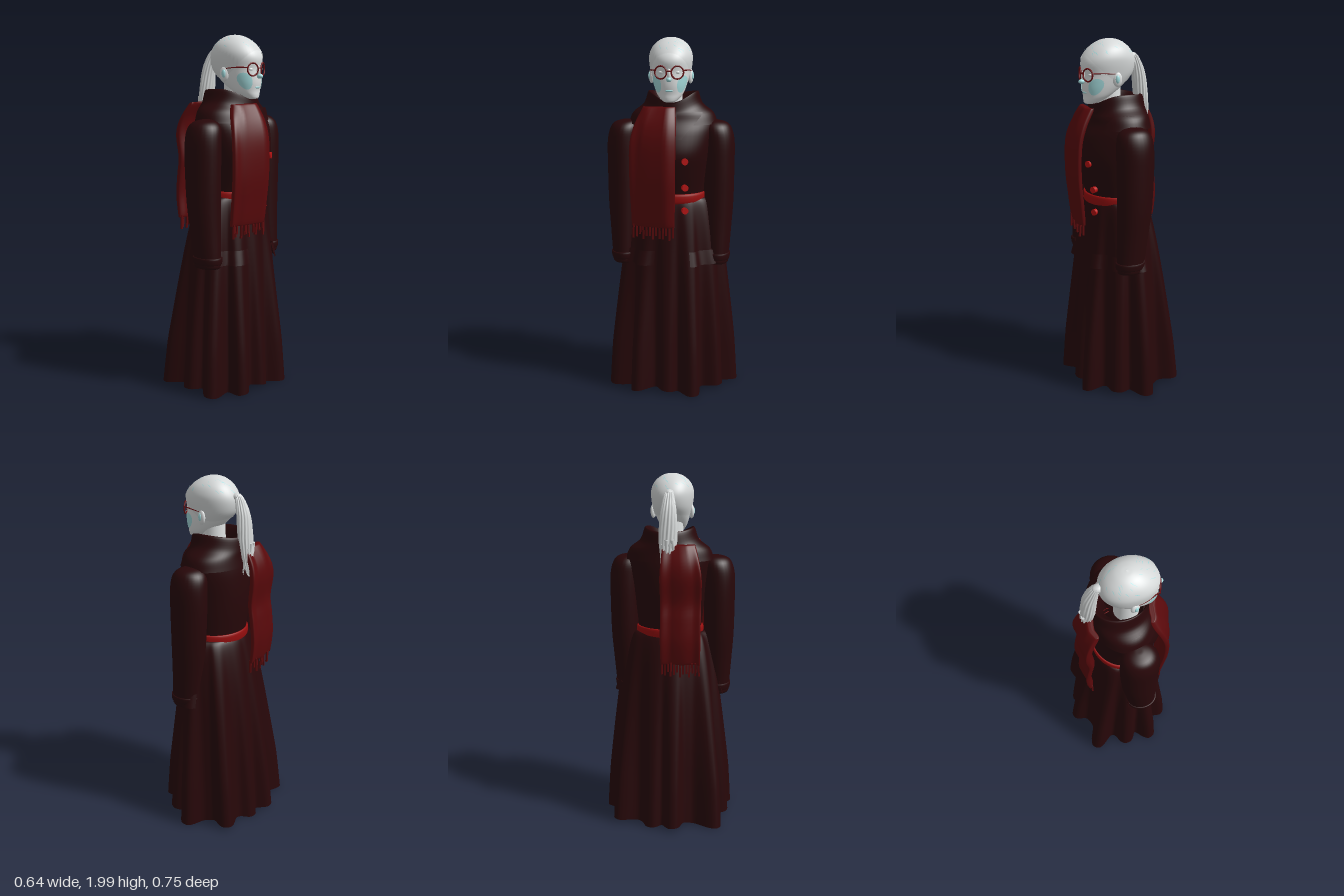
import * as THREE from 'three';
import { mergeVertices } from 'three/addons/utils/BufferGeometryUtils.js';

const mat = (name, color) => {
  const m = new THREE.MeshStandardMaterial({ color, side: THREE.DoubleSide });
  m.name = name;
  return m;
};

// Smooth surface through an (nu+1) x (nv+1) grid of points, u going round, v going up
function grid(nu, nv, fn) {
  const pos = [], idx = [], w = nu + 1;
  for (let j = 0; j <= nv; j++) for (let i = 0; i <= nu; i++) pos.push(...fn(i / nu, j / nv));
  for (let j = 0; j < nv; j++) for (let i = 0; i < nu; i++) {
    const a = j * w + i, b = a + 1, c = a + w, d = c + 1;
    idx.push(a, c, b, b, c, d);
  }
  let g = new THREE.BufferGeometry();
  g.setAttribute('position', new THREE.Float32BufferAttribute(pos, 3));
  g.setIndex(idx);
  g = mergeVertices(g, 1e-5);
  g.computeVertexNormals();
  return g;
}

// Point function over sections [y, cx, rx, rz, cz]; power < 1 makes the outline boxier
function surface(sections, power = 1) {
  const A = new THREE.CatmullRomCurve3(sections.map(s => new THREE.Vector3(s[0], s[1], s[4] || 0)), false, 'catmullrom');
  const B = new THREE.CatmullRomCurve3(sections.map(s => new THREE.Vector3(s[2], s[3], 0)), false, 'catmullrom');
  const p = c => Math.sign(c) * Math.abs(c) ** power;
  return (theta, t, out = 0) => {
    const a = A.getPoint(t), b = B.getPoint(t);
    return [a.y + (Math.max(b.x, 0) + out) * p(Math.cos(theta)), a.x, a.z + (Math.max(b.y, 0) + out) * p(Math.sin(theta))];
  };
}
const loft = (sections, nu = 40, nv = 40, power = 1, warp = p => p) => {
  const f = surface(sections, power);
  return grid(nu, nv, (u, v) => warp(f(u * 2 * Math.PI, v), u * 2 * Math.PI, v));
};

// Skirt folds: [angle in degrees, radius at the hem]
const FOLDS = [[-24, .345], [-58, .335], [-86, .378], [-127, .368], [-163, .285], [169, .32],
  [126, .39], [93, .355], [67, .39], [37, .35], [5, .29]];
function skirtPoint(theta, y, out = 0) {
  const d = Math.max(0, (1.12 - y) / 1.1), c = Math.cos(theta), s = Math.sin(theta);
  const base = 1 / Math.hypot(c / .245, s / .29);
  let r = base;
  for (const [deg, R] of FOLDS) {
    let k = theta - deg * Math.PI / 180;
    k = Math.atan2(Math.sin(k), Math.cos(k));
    r = Math.max(r, base + (R - base) * Math.exp(-(Math.abs(k / .18) ** 3)));
  }
  // Folds deepen towards the hem
  r = base * 1.12 + (r - base * 1.12) * Math.min(1, .3 + d * .9);
  const sx = d ** .62, sz = d ** .33;
  return [(.035 + .155 * c) * (1 - sx) + r * c * sx + out * c, y, .18 * s * (1 - sz) + r * s * sz + out * s];
}

export function createModel() {
  const root = new THREE.Group();
  const coat = mat('dark coat', 0x270709), scarfRed = mat('scarf red', 0x59090b);
  const beltRed = mat('belt red', 0x960e0e), buttonRed = mat('button red', 0xb81212);
  const skin = mat('pale skin', 0xdfe2e2), hair = mat('white hair', 0xd6d9d9);
  const blush = mat('cool blush', 0xa6dcde), frame = mat('glasses frame', 0x6a0e12);
  const add = (name, geo, m, parent = root) => {
    const mesh = new THREE.Mesh(geo, m);
    mesh.name = name;
    parent.add(mesh);
    return mesh;
  };
  const ball = (name, m, parent, [x, y, z], [a, b, c]) => {
    const o = add(name, new THREE.SphereGeometry(1, 20, 14), m, parent);
    o.position.set(x, y, z);
    o.scale.set(a, b, c);
    return o;
  };

  // Coat: pleated skirt, bodice and turned collar
  add('skirt', grid(180, 32, (u, v) => {
    const th = u * 2 * Math.PI, hem = .016 + .01 * Math.sin(th * 5);
    return skirtPoint(th, hem + (1.12 - hem) * (1 - (1 - v) ** 1.8));
  }), coat);
  const torso = [[1.08, .035, .157, .183], [1.14, .035, .159, .18], [1.26, .046, .184, .195], [1.37, .055, .198, .213],
    [1.48, .045, .183, .235], [1.55, .033, .16, .24], [1.6, .03, .148, .215], [1.64, .033, .115, .14]];
  add('bodice', loft(torso, 48, 32), coat);
  add('collar', loft([[1.53, .033, .178, .25], [1.59, .028, .165, .225], [1.64, .023, .158, .165], [1.705, .025, .15, .14],
    [1.695, .035, .14, .125], [1.64, .045, .115, .105], [1.57, .045, .1, .09]], 56, 30, 1, ([x, y, z], th, v) => {
    const c = Math.cos(th), dip = .055 * Math.max(0, c) ** 3 + .018 * Math.max(0, -c) ** 2;
    return [x, y - dip * Math.min(1, v * 2), z];
  }), coat);

  // Lapel lying on the left breast
  const chest = surface(torso);
  add('lapel', grid(10, 10, (u, v) => chest(-.12 - u * (.12 + .6 * v), .54 + .32 * v, .012)), coat);

  // Sleeves with cuffs, and pocket flaps wrapping round the hips
  for (const s of [1, -1]) {
    const side = s > 0 ? 'right' : 'left';
    const mirrored = sections => sections.map(([y, cx, rx, rz, cz]) => [y, cx, rx, rz, s * cz + .012]);
    add(side + 'Sleeve', loft(mirrored([[.74, .08, .05, .03, .268], [.745, .08, .078, .06, .268], [.8, .078, .082, .066, .268],
      [.95, .066, .09, .077, .268], [1.1, .056, .099, .085, .27], [1.3, .052, .106, .088, .27], [1.43, .052, .106, .09, .267],
      [1.5, .052, .097, .084, .258], [1.535, .052, .07, .066, .25], [1.55, .052, .03, .03, .24], [1.552, .052, 0, 0, .24]]), 28, 44), coat);
    add(side + 'Cuff', loft(mirrored([[.765, .08, .076, .058, .268], [.767, .08, .086, .068, .268],
      [.8, .079, .089, .072, .268], [.802, .079, .076, .06, .268]]), 28, 12), coat);
    add(side + 'PocketFlap', grid(32, 4, (u, v) => skirtPoint(s * (.38 + u * 1.3), .75 + .08 * v, .02 - .012 * v)), coat);
  }

  // Belt and buttons
  add('belt', loft([[1.095, .034, .152, .178], [1.1, .036, .168, .192], [1.145, .036, .17, .192], [1.15, .034, .152, .178]], 48, 12), beltRed);
  for (const [x, y] of [[.238, 1.34], [.208, 1.19], [.203, 1.06]]) {
    const b = add('button', new THREE.CylinderGeometry(.018, .018, .024, 18), buttonRed);
    b.position.set(x, y, -.075);
    b.rotation.set(0, .35, -Math.PI / 2);
  }

  // Scarf ends with fringes; the front one bends round the chest
  const bend = z => -.3 * Math.max(0, z - .05);
  add('scarfFront', loft([[.98, .245, 0, .12, .1], [.981, .245, .016, .12, .1], [1.1, .257, .019, .124, .1], [1.25, .27, .02, .127, .102],
    [1.42, .267, .02, .128, .1], [1.53, .239, .022, .116, .088], [1.62, .19, .02, .092, .07], [1.63, .185, 0, .086, .07]],
  40, 36, .5, ([x, y, z]) => [x + bend(z) + .005 * Math.sin(z * 60), y, z]), scarfRed);
  add('scarfBack', loft([[.98, -.2, 0, .11, .085], [.981, -.2, .014, .11, .085], [1.1, -.21, .018, .112, .085], [1.22, -.2, .02, .112, .085],
    [1.32, -.188, .02, .112, .085], [1.45, -.2, .022, .115, .085], [1.54, -.188, .022, .105, .08], [1.62, -.15, .02, .09, .07], [1.63, -.145, 0, .085, .07]],
  40, 36, .5, ([x, y, z]) => [x + .008 * Math.sin(z * 50), y, z]), scarfRed);
  for (let i = 0; i < 13; i++) {
    const len = .072 + .014 * Math.sin(i * 2.3);
    for (const [x0, z0, w, f] of [[.245, -.012, .222, 1], [-.2, -.018, .205, 0]]) {
      const z = z0 + w * i / 12;
      const t = add('scarfFringe', new THREE.BoxGeometry(.01, len, .01), scarfRed);
      t.position.set(x0 + f * bend(z) + .009 * Math.sin(i * 1.7), .985 - len / 2, z);
      t.rotation.set(.08 * Math.sin(i * 3.1), 0, .1 * Math.sin(i * 1.3));
    }
  }

  // Head and neck
  const head = new THREE.Group();
  head.name = 'head';
  head.position.z = .01;
  root.add(head);
  const skull = [[1.653, .185, 0, 0], [1.658, .18, .03, .03], [1.675, .16, .055, .052], [1.7, .135, .08, .072], [1.74, .11, .111, .088],
    [1.78, .09, .131, .099], [1.82, .074, .144, .107], [1.87, .072, .153, .114], [1.91, .069, .141, .112],
    [1.95, .065, .109, .094], [1.98, .062, .067, .06], [1.993, .06, .03, .027], [1.996, .06, 0, 0]];
  const face = surface(skull, .94);
  add('skull', grid(48, 48, (u, v) => face(u * 2 * Math.PI, v)), skin, head);
  add('neck', new THREE.CylinderGeometry(.06, .068, .22, 24), skin, head).position.set(.06, 1.65, 0);

  // Hair cap with a hairline falling from brow to nape, gathered into a ponytail
  add('hairCap', grid(48, 28, (u, v) => {
    const th = u * 2 * Math.PI, low = .49 + .13 * Math.cos(th) + .06 * Math.cos(2 * th);
    const p = face(th, low + (1 - low) * v, .005);
    return [p[0], p[1] + .004 * v, p[2]];
  }), hair, head);
  // Fine partings showing through the hair
  let seed = 7;
  const rand = () => (seed = (seed * 16807) % 2147483647) / 2147483647;
  for (let i = 0; i < 44; i++) {
    const th0 = rand() * 2 * Math.PI, t0 = .66 + rand() * .18, turn = .1 + rand() * .15;
    add('parting', grid(1, 6, (u, v) => {
      const p = face(th0 + turn * v, t0 + .035 * v + .008 * u * Math.sin(Math.PI * v), .007);
      return [p[0], p[1] + .003, p[2]];
    }), blush, head);
  }
  ball('hairKnot', hair, head, [-.082, 1.9, 0], [.032, .02, .024]);
  add('ponytail', loft([[1.47, -.168, 0, 0], [1.49, -.165, .01, .014], [1.57, -.158, .026, .038], [1.68, -.142, .036, .05],
    [1.8, -.128, .034, .042], [1.88, -.106, .024, .028], [1.912, -.09, .014, .016], [1.918, -.088, 0, 0]], 60, 36, 1, ([x, y, z], th) => {
    const k = .003 * Math.sin(th * 14 + y * 20);
    return [x + k * Math.cos(th), y, z + k * Math.sin(th)];
  }), hair, head);
  for (let i = 0; i < 6; i++) {
    const s = add('hairStrand', new THREE.ConeGeometry(.012, .16, 8), hair, head);
    s.position.set(-.16 + .014 * Math.sin(i * 2), 1.555 + .012 * (i % 3), (i - 2.5) * .014);
    s.rotation.set(Math.PI + (i - 2.5) * -.05, 0, -.08);
  }

  // Face details
  ball('noseBridge', skin, head, [.215, 1.802, 0], [.018, .035, .012]);
  ball('noseTip', blush, head, [.23, 1.778, 0], [.02, .013, .015]);
  ball('lips', blush, head, [.212, 1.718, 0], [.009, .007, .024]);
  for (const s of [1, -1]) {
    // Cheek blush follows the skull
    add('cheek', grid(16, 16, (u, v) => {
      const a = u * 2 * Math.PI;
      return face(s * (.84 + .4 * v * Math.cos(a)), .36 + .095 * v * Math.sin(a), .003);
    }), blush, head);
    ball('eye', skin, head, [.202, 1.815, s * .042], [.01, .008, .016]);
    ball('ear', skin, head, [.07, 1.79, s * .108], [.026, .04, .014]).rotation.y = s * .3;
    ball('innerEar', blush, head, [.074, 1.792, s * .118], [.012, .022, .008]).rotation.y = s * .3;
    // Round glasses
    const rim = add('glassesRim', new THREE.TorusGeometry(.034, .0042, 8, 32), frame, head);
    rim.position.set(.217, 1.815, s * .045);
    rim.rotation.y = Math.PI / 2 + s * -.35;
    const path = new THREE.CatmullRomCurve3([[.205, 1.825, s * .077], [.17, 1.826, s * .09], [.13, 1.825, s * .105], [.085, 1.82, s * .11]].map(p => new THREE.Vector3(...p)));
    add('glassesTemple', new THREE.TubeGeometry(path, 12, .0035, 6), frame, head);
  }
  const bridge = add('glassesBridge', new THREE.CylinderGeometry(.0035, .0035, .028, 8), frame, head);
  bridge.position.set(.229, 1.822, 0);
  bridge.rotation.x = Math.PI / 2;
  return root;
}
